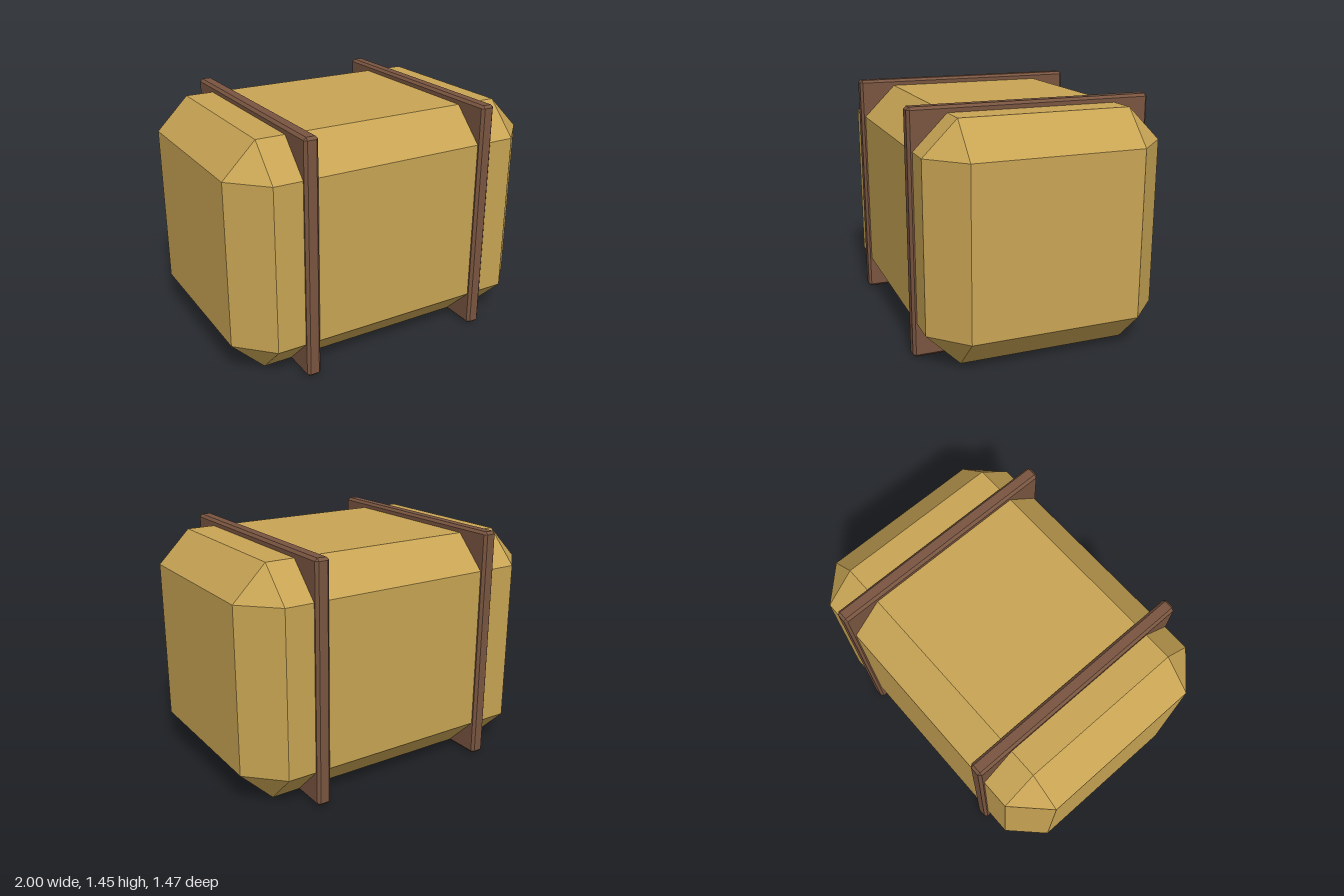
import * as THREE from 'three';
import { ConvexGeometry } from 'three/addons/geometries/ConvexGeometry.js';

// Box with every edge and corner cut by a flat bevel
function bevelBox(w, h, d, bevel) {
  const half = [w / 2, h / 2, d / 2];
  const points = [];
  for (const sx of [-1, 1]) for (const sy of [-1, 1]) for (const sz of [-1, 1]) {
    for (let axis = 0; axis < 3; axis++) {
      const c = half.map((v, i) => (i === axis ? v : v - bevel));
      points.push(new THREE.Vector3(sx * c[0], sy * c[1], sz * c[2]));
    }
  }
  return new ConvexGeometry(points);
}

export function createModel() {
  const group = new THREE.Group();
  const cloth = new THREE.MeshStandardMaterial({ color: 0xc8a454, flatShading: true });
  const leather = new THREE.MeshStandardMaterial({ color: 0x795540, flatShading: true });

  // Bale body
  const body = new THREE.Mesh(bevelBox(2, 1.4, 1.416, 0.2), cloth);
  body.name = 'body';
  body.position.y = 0.71;
  group.add(body);

  // Two square straps around the body
  const strapGeometry = bevelBox(0.086, 1.45, 1.466, 0.016);
  for (const side of [-1, 1]) {
    const strap = new THREE.Mesh(strapGeometry, leather);
    strap.name = side > 0 ? 'leftStrap' : 'rightStrap';
    strap.position.set(side * 0.583, 0.725, 0);
    group.add(strap);
  }
  return group;
}
